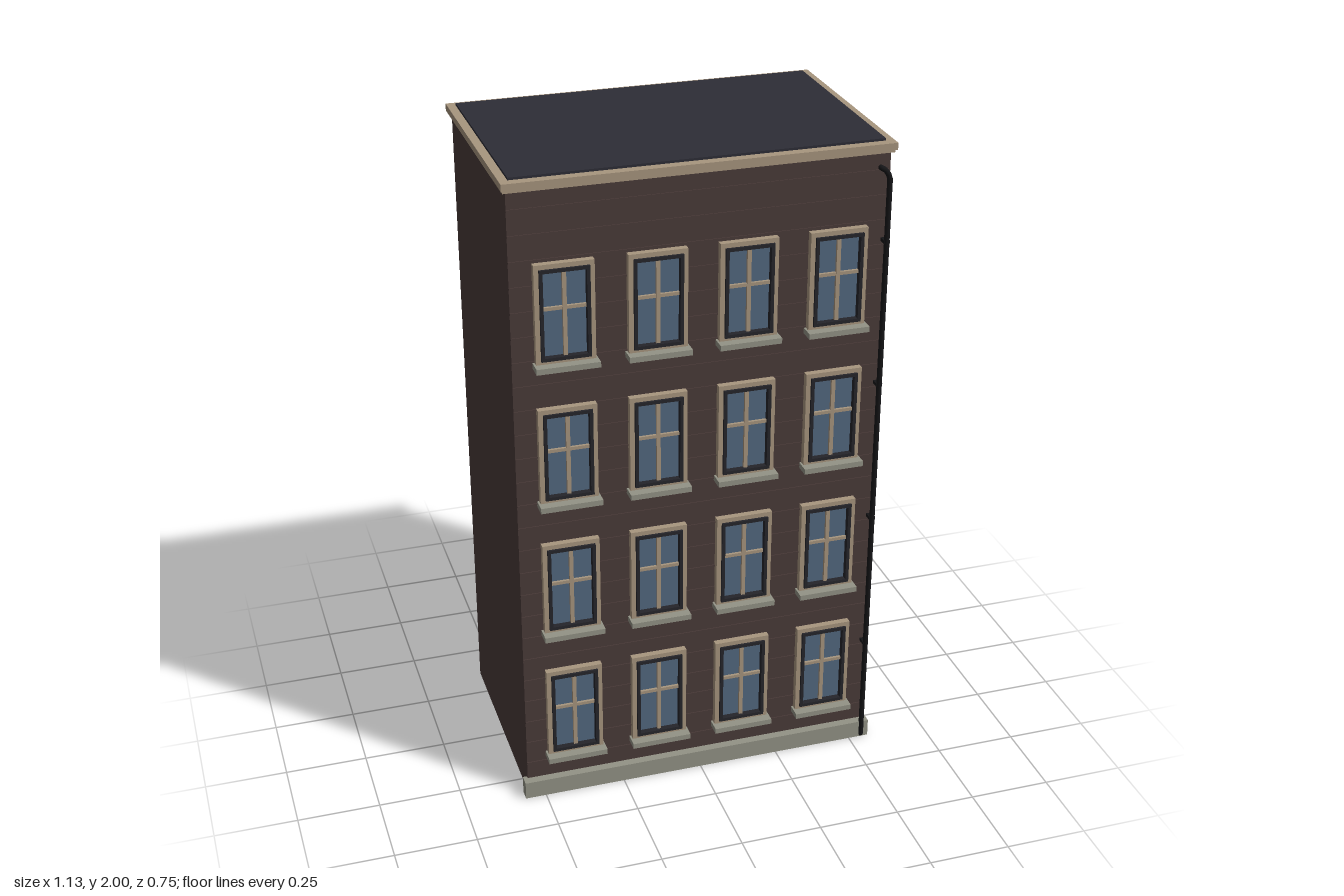
import * as THREE from 'three';

const mat = (name, color) => {
  const m = new THREE.MeshStandardMaterial({ color });
  m.name = name;
  return m;
};

export function createModel() {
  const brick = mat('brown brick', 0x4a3b39);
  const glass = mat('blue glass', 0x536880);
  const trim = mat('tan trim', 0xa8967f);
  const stone = mat('grey stone', 0x939386);
  const roofing = mat('dark roofing', 0x2d2d36);
  const dark = mat('dark frame', 0x25252a);
  const iron = mat('black iron', 0x151517);

  const model = new THREE.Group();
  model.name = 'building';

  // Box given by its minimum and maximum corners
  const box = (parent, name, material, x0, x1, y0, y1, z0, z1) => {
    const mesh = new THREE.Mesh(new THREE.BoxGeometry(x1 - x0, y1 - y0, z1 - z0), material);
    mesh.position.set((x0 + x1) / 2, (y0 + y1) / 2, (z0 + z1) / 2);
    mesh.name = name;
    parent.add(mesh);
    return mesh;
  };

  // Rectangular ring standing in the xy plane
  const ring = (parent, name, material, w, h, t, z0, z1) => {
    const rect = (shape, a, b) => shape.moveTo(-a, -b).lineTo(a, -b).lineTo(a, b).lineTo(-a, b).closePath();
    const shape = rect(new THREE.Shape(), w / 2, h / 2);
    shape.holes.push(rect(new THREE.Path(), w / 2 - t, h / 2 - t));
    const geometry = new THREE.ExtrudeGeometry(shape, { depth: z1 - z0, bevelEnabled: false });
    const mesh = new THREE.Mesh(geometry, material);
    mesh.position.z = z0;
    mesh.name = name;
    parent.add(mesh);
  };

  const FRONT = 0.325;
  const BACK = -0.357;
  const SIDE = 0.551;

  // Walls and front plinth
  box(model, 'walls', brick, -SIDE, SIDE, 0.003, 1.97, BACK, FRONT);
  box(model, 'plinth', stone, -0.564, 0.564, 0, 0.056, FRONT - 0.01, 0.351);

  // Thin projecting brick courses on the facade
  for (let i = 0; i < 25; i++) {
    const y = 0.11 + i * 0.075;
    box(model, 'brickCourse', brick, -SIDE, SIDE, y, y + 0.005, FRONT - 0.005, FRONT + 0.003);
  }

  // Cornice in two steps and the flat roof
  box(model, 'corniceLower', trim, -0.56, 0.56, 1.964, 1.974, -0.366, 0.334);
  box(model, 'cornice', trim, -0.565, 0.565, 1.972, 1.993, -0.373, 0.34);
  box(model, 'roof', roofing, -0.54, 0.539, 1.985, 2, -0.347, 0.312);

  // Facade windows, centred on their own origin
  const facadeWindow = (x, top) => {
    const w = new THREE.Group();
    w.name = 'frontWindow';
    const h = 0.3;
    w.position.set(x, top - h / 2, 0);
    ring(w, 'windowTrim', trim, 0.172, h, 0.014, FRONT - 0.005, 0.345);
    ring(w, 'windowFrame', dark, 0.144, h - 0.028, 0.01, FRONT - 0.005, 0.352);
    box(w, 'windowPane', glass, -0.064, 0.064, -0.128, 0.128, FRONT - 0.005, 0.334);
    box(w, 'mullion', trim, -0.006, 0.006, -0.127, 0.127, 0.332, 0.343);
    box(w, 'crossBar', trim, -0.063, 0.063, 0.012, 0.022, 0.332, 0.342);
    box(w, 'sill', stone, -0.092, 0.092, -0.163, -0.146, FRONT - 0.005, 0.373);
    model.add(w);
  };

  for (let floor = 0; floor < 4; floor++) {
    const top = 0.442 + floor * 0.4375;
    for (const x of [-0.4, -0.133, 0.133, 0.4]) facadeWindow(x, top);
    // Plain panes on the left wall only
    for (const z of [0.159, -0.127]) {
      box(model, 'sideWindow', glass, SIDE - 0.002, SIDE + 0.005, top - 0.249, top + 0.01, z - 0.066, z + 0.066);
    }
  }

  // Downpipe with a bent top, held by small brackets
  const path = new THREE.CurvePath();
  const points = [
    [0.512, 1.93, 0.35],
    [0.528, 1.92, 0.35],
    [0.541, 1.9, 0.35],
    [0.541, 0.01, 0.35],
  ].map((p) => new THREE.Vector3(...p));
  for (let i = 0; i < 3; i++) path.add(new THREE.LineCurve3(points[i], points[i + 1]));
  const pipe = new THREE.Mesh(new THREE.TubeGeometry(path, 120, 0.008, 10), iron);
  pipe.name = 'downpipe';
  model.add(pipe);
  for (const [i, y] of [[0, 1.93], [3, 0.01]]) {
    const cap = new THREE.Mesh(new THREE.SphereGeometry(0.008, 10, 6), iron);
    cap.position.set(points[i].x, y, points[i].z);
    cap.name = 'pipeEnd';
    model.add(cap);
  }
  for (const y of [0.35, 0.8, 1.25, 1.7]) {
    box(model, 'pipeBracket', iron, 0.532, 0.55, y, y + 0.01, FRONT - 0.005, 0.352);
  }

  return model;
}
